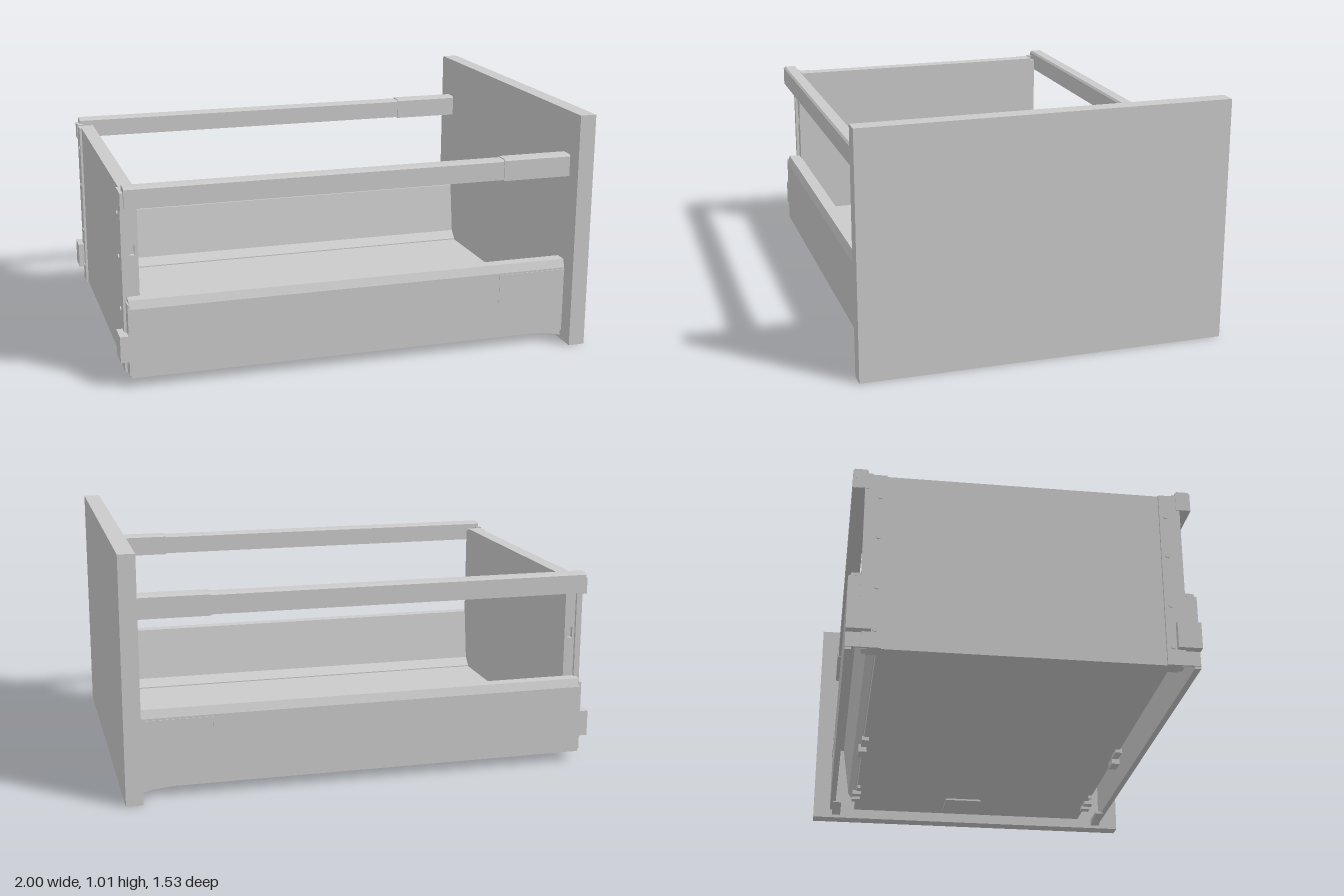
import * as THREE from 'three';

const material = new THREE.MeshStandardMaterial({ color: 0xcccccc, flatShading: true });

export function createModel() {
  const root = new THREE.Group();
  root.name = 'drawer';

  const add = (parent, name, geometry) => {
    const mesh = new THREE.Mesh(geometry, material);
    mesh.name = name;
    parent.add(mesh);
    return mesh;
  };
  // Box from its limits on each axis
  const box = (parent, name, [x0, x1], [y0, y1], [z0, z1]) => {
    const mesh = add(parent, name, new THREE.BoxGeometry(x1 - x0, y1 - y0, Math.abs(z1 - z0)));
    mesh.position.set((x0 + x1) / 2, (y0 + y1) / 2, (z0 + z1) / 2);
    return mesh;
  };
  // Cross-section of [z, y] points extruded along x, mirrored by s
  const extrudeX = (parent, name, points, x0, x1, s) => {
    const shape = new THREE.Shape(points.map(([z, y]) => new THREE.Vector2(-s * z, y)));
    const geometry = new THREE.ExtrudeGeometry(shape, { depth: x1 - x0, bevelEnabled: false });
    geometry.rotateY(Math.PI / 2).translate(x0, 0, 0);
    return add(parent, name, geometry);
  };

  // Large panels
  box(root, 'frontPanel', [0.93, 1], [0, 1.015], [-0.765, 0.765]);
  box(root, 'floor', [-0.96, 0.93], [0.045, 0.09], [-0.565, 0.565]);
  box(root, 'backPanel', [-0.965, -0.905], [0.045, 0.8], [-0.605, 0.605]);
  box(root, 'adjusterPlate', [0.7, 0.87], [0.037, 0.045], [-0.13, 0.04]);

  // Hollow side wall, open underneath
  const wall = [
    [0.66, 0.04], [0.685, 0.04], [0.685, 0.33], [0.672, 0.365], [0.62, 0.365],
    [0.585, 0.13], [0.55, 0.095], [0.55, 0.088], [0.568, 0.088], [0.597, 0.125],
    [0.63, 0.353], [0.664, 0.353], [0.673, 0.328], [0.673, 0.05], [0.66, 0.05],
  ];
  const railSection = (grow) => {
    const a = 0.622 - grow, b = 0.684 + grow, y0 = 0.742 - grow, y1 = 0.828 + grow, c = 0.008;
    return [[a, y0], [b, y0], [b, y1 - c], [b - c, y1], [a + c, y1], [a, y1 - c]];
  };

  for (const s of [1, -1]) {
    const side = new THREE.Group();
    side.name = s > 0 ? 'leftSide' : 'rightSide';
    root.add(side);
    const part = (name, x, y, z) => box(side, name, x, y, z.map((v) => v * s));

    extrudeX(side, 'sideWall', wall, -0.96, 0.93, s);
    // Thin seams of the front cover
    part('coverSeam', [0.63, 0.93], [0.318, 0.322], [0.684, 0.687]);
    part('coverSeamEnd', [0.628, 0.632], [0.2, 0.322], [0.684, 0.687]);

    // Upper rail with its sleeve
    extrudeX(side, 'upperRail', railSection(0), -0.965, 0.64, s);
    extrudeX(side, 'railSleeve', railSection(0.004), 0.63, 0.93, s);

    // Rear post with a slot, seen from the side
    const post = new THREE.Shape();
    post.moveTo(-0.95, 0.05).lineTo(-0.905, 0.05).lineTo(-0.905, 0.79).lineTo(-0.95, 0.79).closePath();
    const slot = new THREE.Path();
    slot.moveTo(-0.94, 0.535).lineTo(-0.94, 0.58).lineTo(-0.92, 0.58).lineTo(-0.92, 0.535).closePath();
    post.holes.push(slot);
    add(side, 'rearPost', new THREE.ExtrudeGeometry(post, { depth: 0.018, bevelEnabled: false }))
      .position.z = s > 0 ? 0.605 : -0.623;

    // Rear bracket, screws and hook
    part('rearBracket', [-0.975, -0.965], [0.045, 0.8], [0.55, 0.625]);
    part('rearFlange', [-0.975, -0.95], [0.22, 0.805], [0.605, 0.635]);
    part('railMount', [-0.978, -0.94], [0.735, 0.805], [0.62, 0.67]);
    part('rearHook', [-1, -0.95], [0.11, 0.22], [0.59, 0.685]);
    part('hookPlate', [-0.965, -0.955], [0.05, 0.35], [0.6, 0.684]);
    for (const y of [0.12, 0.3, 0.52, 0.7]) {
      const screw = add(side, 'screw', new THREE.CylinderGeometry(0.01, 0.01, 0.006, 10));
      screw.rotation.z = Math.PI / 2;
      screw.position.set(-0.977, y, s * 0.575);
    }

    // Clips under the floor edge
    part('clip', [0.04, 0.115], [0.015, 0.05], [0.55, 0.585]);
    part('clipTab', [-0.06, 0.02], [0.03, 0.05], [0.545, 0.575]);
    part('frontClip', [0.65, 0.69], [0.03, 0.05], [0.545, 0.585]);
    part('frontClip', [0.72, 0.76], [0.028, 0.05], [0.545, 0.585]);
    part('pin', [0.565, 0.58], [0.03, 0.05], [0.55, 0.565]);

    // Wedge guide next to the front panel
    const wedge = new THREE.Shape();
    wedge.moveTo(0.8, 0.045).lineTo(0.8, 0.035).lineTo(0.88, 0.028).lineTo(0.93, 0.014)
      .lineTo(0.93, 0.045).closePath();
    add(side, 'wedgeGuide', new THREE.ExtrudeGeometry(wedge, { depth: 0.04, bevelEnabled: false }))
      .position.z = s > 0 ? 0.633 : -0.673;
  }
  return root;
}
